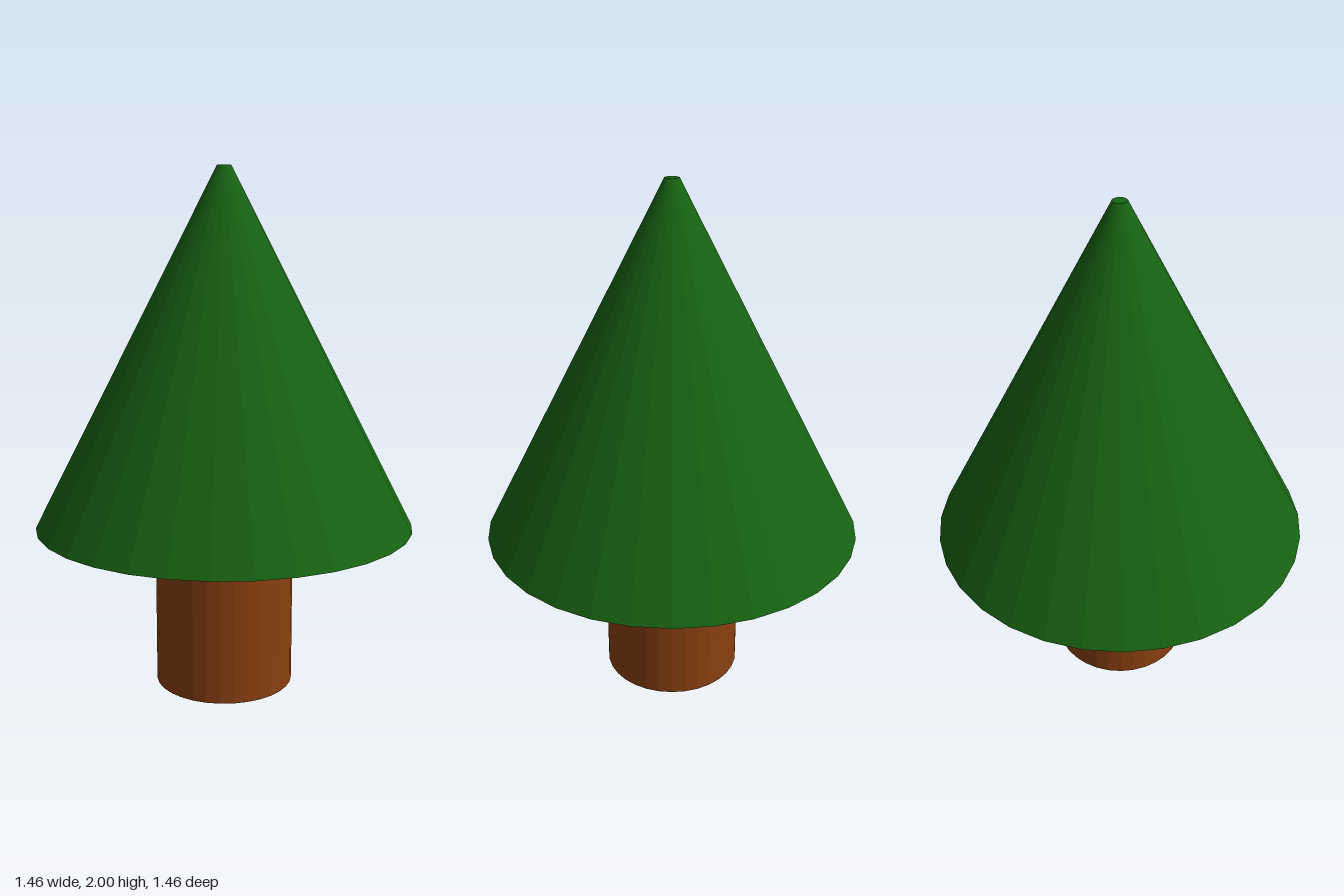
import * as THREE from 'three';

const SIDES = 32;

// Faceted solid of revolution from [radius, height] pairs, bottom to top
function turned(name, color, profile) {
  const points = profile.map(([r, y]) => new THREE.Vector2(r, y));
  const mesh = new THREE.Mesh(
    new THREE.LatheGeometry(points, SIDES),
    new THREE.MeshStandardMaterial({ color, flatShading: true })
  );
  mesh.name = name;
  return mesh;
}

export function createModel() {
  const tree = new THREE.Group();
  tree.name = 'tree';

  // Trunk: plain cylinder with a closed base
  tree.add(turned('trunk', 0x8a4010, [[0, 0], [0.27, 0], [0.27, 0.55]]));

  // Foliage: shallow flared underside, tall cone and small flat tip
  tree.add(turned('foliage', 0x176212, [[0.27, 0.55], [0.73, 0.64], [0.027, 2], [0, 2]]));

  return tree;
}
